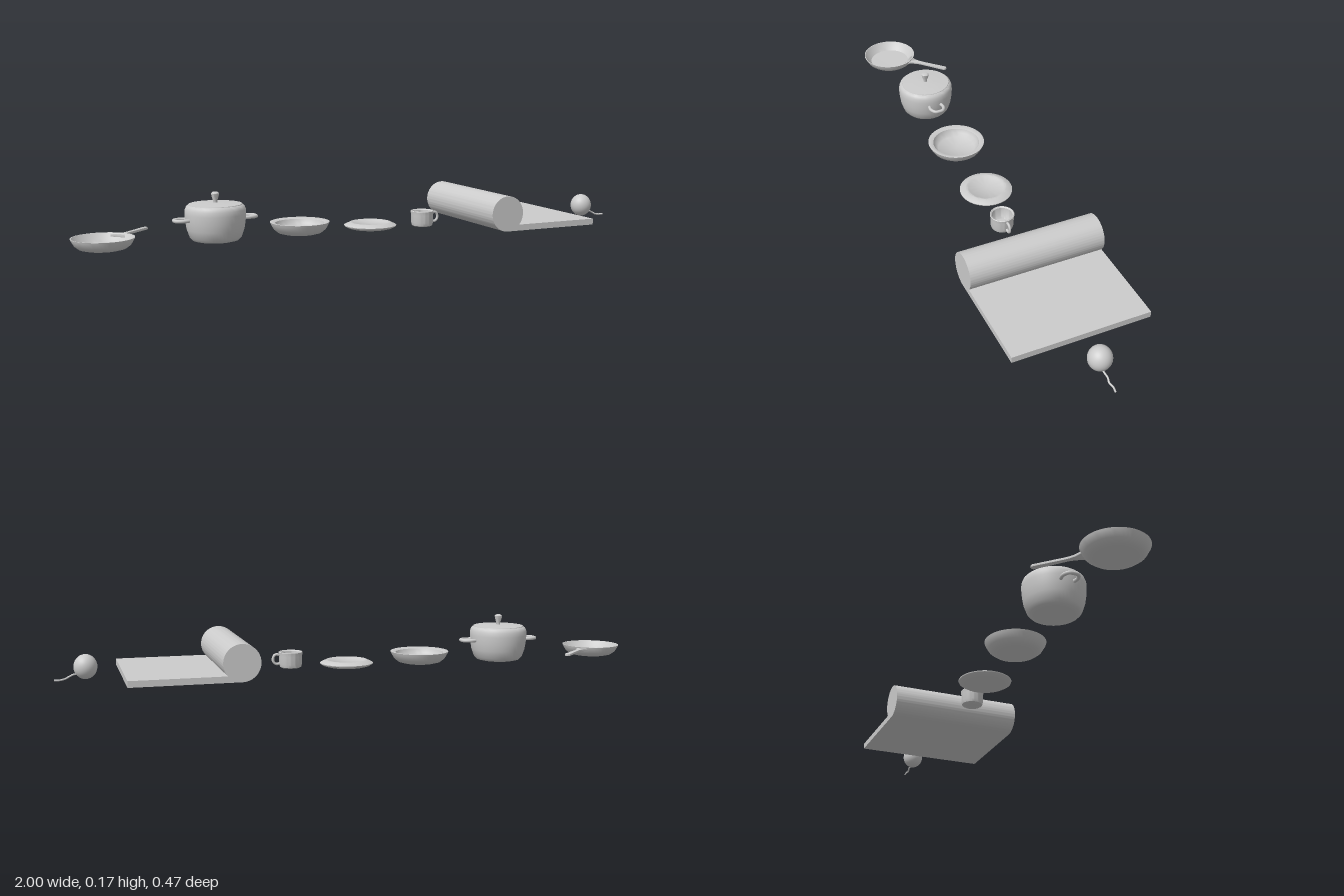
import * as THREE from 'three';
import { toCreasedNormals } from 'three/addons/utils/BufferGeometryUtils.js';

const material = new THREE.MeshStandardMaterial({ color: 0xcccccc, side: THREE.DoubleSide });
const v3 = (p) => new THREE.Vector3(...p);

function add(parent, name, geometry, x = 0, y = 0, z = 0) {
  const mesh = new THREE.Mesh(geometry, material);
  mesh.name = name;
  mesh.position.set(x, y, z);
  parent.add(mesh);
  return mesh;
}

function group(parent, name, x, z) {
  const g = new THREE.Group();
  g.name = name;
  g.position.set(x, 0, z);
  parent.add(g);
  return g;
}

// Turned part from [radius, height] pairs, running from the bottom up and back in
const turned = (profile) => toCreasedNormals(
  new THREE.LatheGeometry(profile.map(([r, y]) => new THREE.Vector2(r, y)), 48), 0.7);

const tube = (points, radius) =>
  new THREE.TubeGeometry(new THREE.CatmullRomCurve3(points.map(v3)), 32, radius, 10);

export function createModel() {
  const model = new THREE.Group();
  model.name = 'kitchenAndMatSet';

  // Frying pan with a flared handle pointing to the back
  const pan = group(model, 'fryingPan', -0.9, -0.014);
  add(pan, 'panBody', turned([[0, 0.011], [0.06, 0.012], [0.075, 0.016], [0.088, 0.026],
    [0.099, 0.045], [0.1, 0.049], [0.097, 0.049], [0.085, 0.032], [0.074, 0.022], [0, 0.021]]));
  const grip = new THREE.Shape();
  grip.moveTo(0.084, -0.026);
  grip.bezierCurveTo(0.105, -0.012, 0.12, -0.006, 0.15, -0.006);
  grip.lineTo(0.245, -0.008);
  grip.quadraticCurveTo(0.256, 0, 0.245, 0.008);
  grip.lineTo(0.15, 0.006);
  grip.bezierCurveTo(0.12, 0.006, 0.105, 0.012, 0.084, 0.026);
  const gripGeometry = new THREE.ExtrudeGeometry(grip, {
    depth: 0.004, bevelThickness: 0.002, bevelSize: 0.001, bevelSegments: 2 });
  gripGeometry.rotateX(-Math.PI / 2);
  add(pan, 'panHandle', toCreasedNormals(gripGeometry, 0.7), 0, 0.039, 0).rotation.y = 0.76;

  // Cooking pot with lid, knob and two loop handles
  const pot = group(model, 'cookingPot', -0.529, -0.025);
  add(pot, 'potBody', turned([[0, 0.009], [0.06, 0.01], [0.076, 0.014], [0.085, 0.024],
    [0.094, 0.05], [0.098, 0.075], [0.1, 0.1], [0.099, 0.115], [0.095, 0.125], [0.088, 0.13], [0, 0.13]]));
  add(pot, 'potLid', turned([[0.088, 0.129], [0.087, 0.132], [0.06, 0.134], [0.02, 0.136], [0, 0.136]]));
  add(pot, 'lidKnob', turned([[0.007, 0.134], [0.007, 0.142], [0.012, 0.158], [0.013, 0.166],
    [0.01, 0.17], [0.005, 0.172], [0, 0.172]]));
  for (const s of [-1, 1]) {
    add(pot, s > 0 ? 'leftPotHandle' : 'rightPotHandle', tube([[s * 0.085, 0.084, -0.02],
      [s * 0.115, 0.084, -0.025], [s * 0.135, 0.084, -0.015], [s * 0.138, 0.084, 0],
      [s * 0.135, 0.084, 0.015], [s * 0.115, 0.084, 0.025], [s * 0.085, 0.084, 0.02]], 0.006));
  }

  // Shallow bowl
  const bowl = group(model, 'bowl', -0.233, -0.025);
  add(bowl, 'bowlBody', turned([[0, 0.011], [0.055, 0.012], [0.074, 0.017], [0.088, 0.028],
    [0.098, 0.045], [0.101, 0.053], [0.098, 0.054], [0.083, 0.049], [0.078, 0.035], [0.066, 0.025], [0, 0.023]]));

  // Plate with a raised ring
  const plate = group(model, 'plate', 0.031, -0.025);
  add(plate, 'plateBody', turned([[0, 0.01], [0.065, 0.011], [0.08, 0.015], [0.09, 0.021],
    [0.091, 0.024], [0.085, 0.027], [0.07, 0.034], [0.065, 0.034], [0.06, 0.03], [0, 0.029]]));

  // Cup
  const cup = group(model, 'cup', 0.221, 0.002);
  add(cup, 'cupBody', turned([[0, 0.011], [0.031, 0.011], [0.036, 0.014], [0.039, 0.025],
    [0.039, 0.05], [0.041, 0.064], [0.039, 0.066], [0.034, 0.062], [0.032, 0.03], [0.026, 0.022], [0, 0.021]]));
  add(cup, 'cupHandle', tube([[0.035, 0.055, 0], [0.052, 0.057, 0], [0.06, 0.048, 0],
    [0.06, 0.034, 0], [0.05, 0.025, 0], [0.035, 0.027, 0]], 0.0045));

  // Half unrolled mat: a flat sheet running into a round roll
  const side = new THREE.Shape();
  side.moveTo(0.43, 0.01);
  side.lineTo(0.787, 0.01);
  side.lineTo(0.787, 0.031);
  side.lineTo(0.476, 0.031);
  side.absarc(0.43, 0.071, 0.061, Math.atan2(-0.04, 0.046), Math.PI * 1.5, false);
  const matGeometry = new THREE.ExtrudeGeometry(side, { depth: 0.468, bevelEnabled: false, curveSegments: 56 });
  add(model, 'rolledMat', toCreasedNormals(matGeometry, 0.6), 0, 0, -0.234);

  // Ball with a loose string
  const ball = group(model, 'stringBall', 0.9, 0.006);
  add(ball, 'ball', new THREE.SphereGeometry(0.038, 36, 24), 0, 0.044, 0).scale.y = 1.07;
  add(ball, 'looseString', tube([[0.022, 0.02, 0.003], [0.038, 0.019, 0.004], [0.052, 0.013, 0.001],
    [0.065, 0.006, 0.003], [0.082, 0.003, -0.001], [0.1, 0.003, 0.002]], 0.003));

  return model;
}
